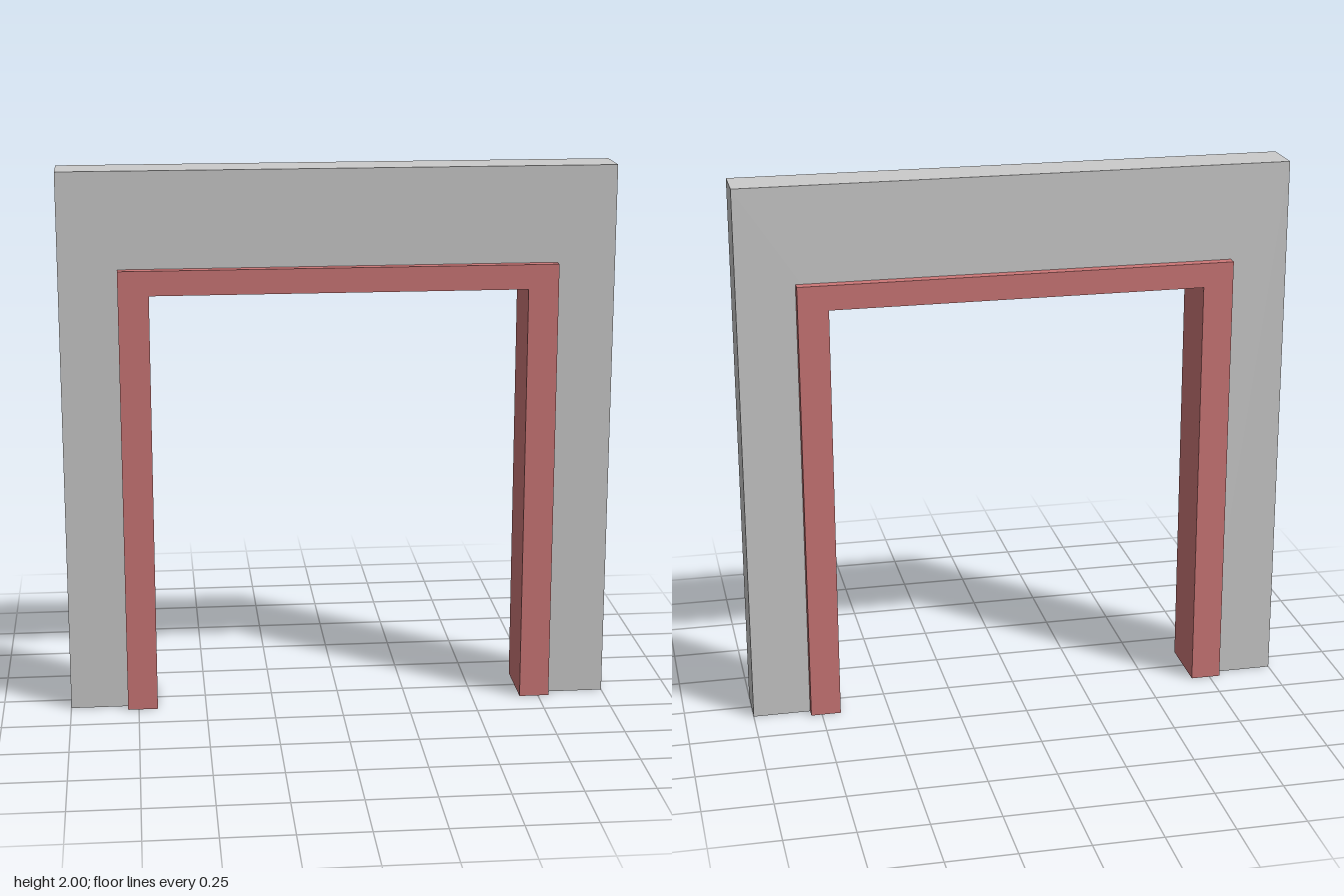
import * as THREE from 'three';

// Upside-down U outline: outer half width and height, inner half width and height
function archShape(outerX, outerY, innerX, innerY) {
  return new THREE.Shape([
    [-outerX, 0], [-innerX, 0], [-innerX, innerY], [innerX, innerY],
    [innerX, 0], [outerX, 0], [outerX, outerY], [-outerX, outerY],
  ].map(([x, y]) => new THREE.Vector2(x, y)));
}

// Extrude an arch between two z positions
function arch(name, material, outer, inner, z0, z1) {
  const geometry = new THREE.ExtrudeGeometry(archShape(...outer, ...inner), {
    depth: z1 - z0, bevelEnabled: false,
  });
  geometry.translate(0, 0, z0);
  const mesh = new THREE.Mesh(geometry, material);
  mesh.name = name;
  return mesh;
}

export function createModel() {
  const model = new THREE.Group();
  model.name = 'doorFrameInWall';
  const grey = new THREE.MeshStandardMaterial({ color: 0xcccccc });
  const red = new THREE.MeshStandardMaterial({ color: 0xcc7777 });

  const wallZ = 0.083, frameZ = 0.12, sheet = 0.01;
  const frameOuter = [0.79, 1.65], frameInner = [0.68, 1.56];

  // Wall with its doorway, which ends inside the frame channel
  model.add(arch('wall', grey, [1, 2], [0.74, 1.61], -wallZ, wallZ));

  // Sheet frame, hollow and open at the foot
  const frame = new THREE.Group();
  frame.name = 'doorFrame';
  const liningOuter = frameInner.map((v) => v + sheet);
  const returnInner = frameOuter.map((v) => v - sheet);
  frame.add(arch('lining', red, liningOuter, frameInner, -frameZ + sheet, frameZ - sheet));

  // Face and return to the wall on each side
  for (const [side, s] of [['front', 1], ['back', -1]]) {
    const span = (a, b) => (s > 0 ? [a, b] : [-b, -a]);
    frame.add(arch(side + 'Casing', red, frameOuter, frameInner, ...span(frameZ - sheet, frameZ)));
    frame.add(arch(side + 'Return', red, frameOuter, returnInner, ...span(wallZ, frameZ - sheet)));
  }
  model.add(frame);
  return model;
}
